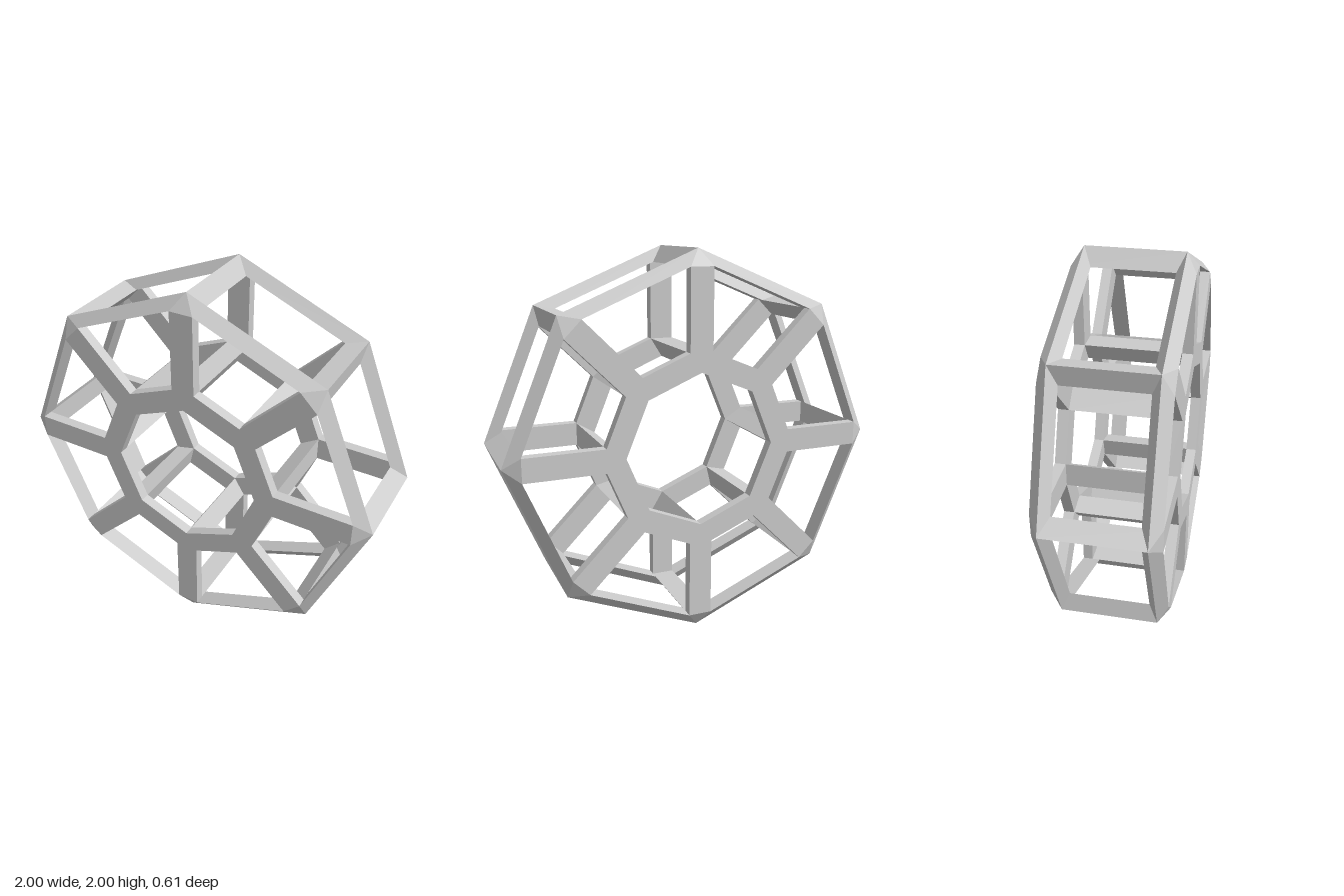
import * as THREE from 'three';

const SIDES = 8, STEP = Math.PI * 2 / SIDES;
const HALF = 0.0615;              // half width of spokes and bars
const R_OUT = 1, R_REST = 0.914;  // outer ridge, end of the spokes
const R_HOLE = 0.4, R_HUB = 0.5;  // hub ring
const Z_FACE = 0.305, Z_RIDGE = 0.25, Z_GAP = 0.207;

const material = new THREE.MeshStandardMaterial({ color: 0xcccccc, flatShading: true });

// Point given by radius, tangential offset and depth, turned to spoke k
function pt(r, t, z, k = 0) {
  return new THREE.Vector3(r, t, z).applyAxisAngle(new THREE.Vector3(0, 0, 1), k * STEP);
}

// Closed three-sided prism between triangles a and b
function prism(a, b) {
  const normal = a[1].clone().sub(a[0]).cross(a[2].clone().sub(a[0]));
  if (normal.dot(b[0].clone().sub(a[0])) > 0) {
    a = [a[0], a[2], a[1]];
    b = [b[0], b[2], b[1]];
  }
  const points = [...a, b[0], b[2], b[1]];
  for (let i = 0; i < 3; i++) {
    const j = (i + 1) % 3;
    points.push(a[i], b[i], b[j], a[i], b[j], a[j]);
  }
  const geometry = new THREE.BufferGeometry().setFromPoints(points);
  geometry.computeVertexNormals();
  return geometry;
}

export function createModel() {
  const model = new THREE.Group();
  model.name = 'octagonalFrame';
  const frame = new THREE.Group();
  frame.name = 'frame';
  frame.position.y = 1;
  model.add(frame);

  const add = (name, geometry) => {
    const mesh = new THREE.Mesh(geometry, material);
    mesh.name = name;
    frame.add(mesh);
    return mesh;
  };

  // Flat plate: hub ring with eight spokes
  const outline = [], hole = [];
  for (let k = 0; k < SIDES; k++) {
    outline.push(pt(R_HUB, -HALF, 0, k), pt(R_REST, -HALF, 0, k), pt(R_REST, HALF, 0, k), pt(R_HUB, HALF, 0, k));
    hole.push(pt(R_HOLE, 0, 0, k));
  }
  const flat = (list) => list.map((p) => new THREE.Vector2(p.x, p.y));
  const shape = new THREE.Shape(flat(outline));
  shape.holes.push(new THREE.Path(flat(hole)));
  const plate = new THREE.ExtrudeGeometry(shape, { depth: Z_FACE - Z_RIDGE, bevelEnabled: false });
  add('frontSpokes', plate).position.z = Z_RIDGE;
  add('backSpokes', plate).position.z = -Z_FACE;

  // Outer crossbars have a ridge outwards, hub crossbars a ridge inwards
  const outerEnd = (s) => [pt(R_OUT, 0, s * Z_RIDGE), pt(R_REST, HALF, s * Z_FACE), pt(R_REST, -HALF, s * Z_FACE)];
  const hubEnd = (s) => [pt(R_HOLE, 0, s * Z_RIDGE), pt(R_HUB, HALF, s * Z_RIDGE), pt(R_HUB, -HALF, s * Z_RIDGE)];
  const outerBar = prism(outerEnd(1), outerEnd(-1));
  const hubBar = prism(hubEnd(1), hubEnd(-1));

  // Rim rail from one corner to the next
  const railEnd = (s, k, t) => [pt(R_OUT, 0, s * Z_RIDGE, k), pt(R_REST, t, s * Z_FACE, k), pt(R_REST, t, s * Z_GAP, k)];
  const rail = (s) => prism(railEnd(s, 0, HALF), railEnd(s, 1, -HALF));
  const frontRail = rail(1), backRail = rail(-1);

  for (let k = 0; k < SIDES; k++) {
    add('outerCrossbar', outerBar).rotation.z = k * STEP;
    add('hubCrossbar', hubBar).rotation.z = k * STEP;
    add('frontRimRail', frontRail).rotation.z = k * STEP;
    add('backRimRail', backRail).rotation.z = k * STEP;
  }
  return model;
}
